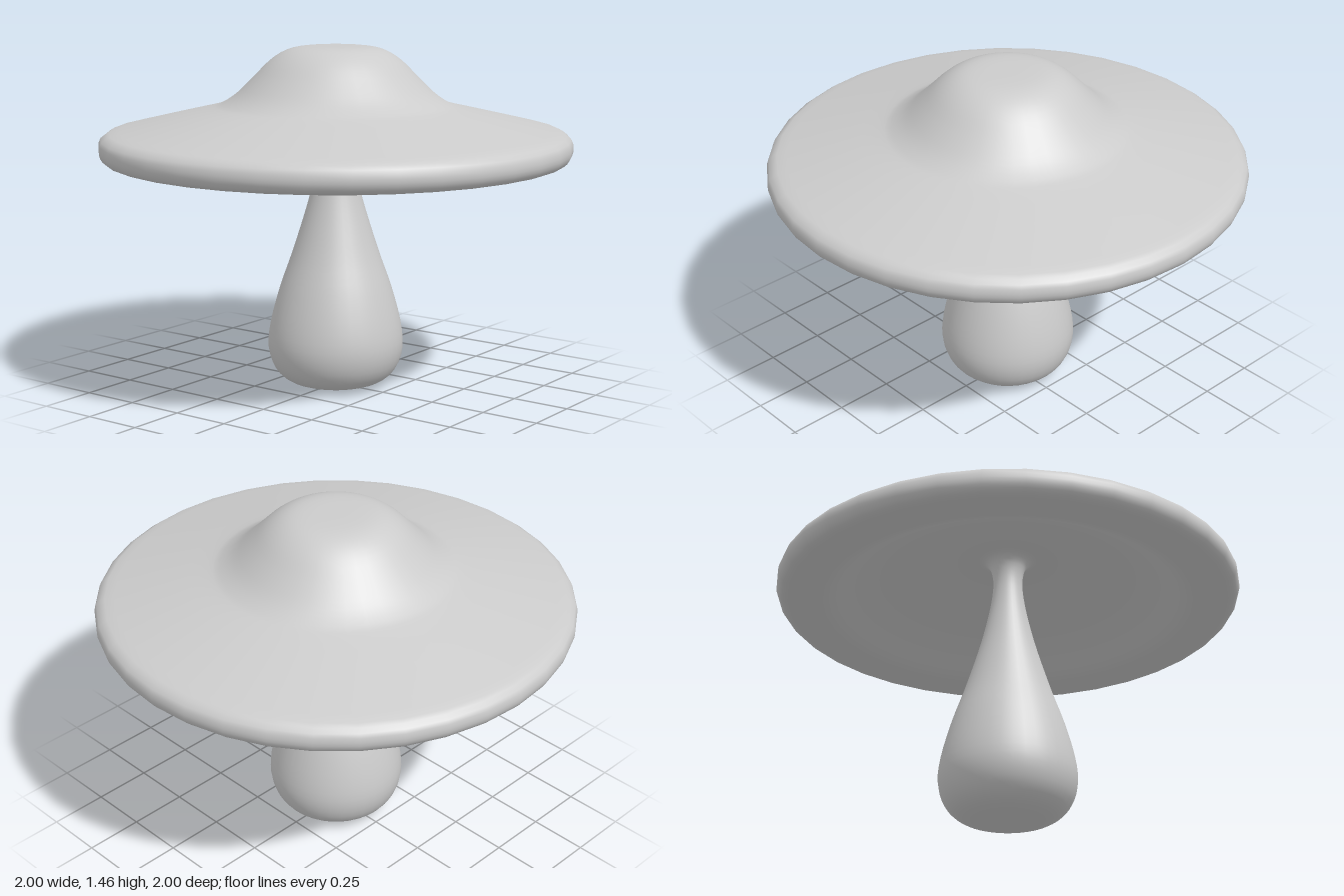
import * as THREE from 'three';

const SIDES = 36;

// Smooth open curve through [radius, height] points
function smooth(pairs, divisions) {
  const curve = new THREE.SplineCurve(pairs.map(([r, y]) => new THREE.Vector2(r, y)));
  return curve.getPoints(divisions).map((p) => new THREE.Vector2(Math.max(p.x, 0), p.y));
}

function turned(name, points, material) {
  const mesh = new THREE.Mesh(new THREE.LatheGeometry(points, SIDES), material);
  mesh.name = name;
  return mesh;
}

export function createModel() {
  const group = new THREE.Group();
  group.name = 'mushroom';
  const material = new THREE.MeshStandardMaterial({ color: 0xcccccc, side: THREE.DoubleSide });

  // Pear-shaped stem, flaring where it meets the hollow underside
  const stem = smooth([
    [0, 0], [0.1, 0.003], [0.2, 0.025], [0.262, 0.08], [0.29, 0.17], [0.28, 0.28],
    [0.24, 0.43], [0.187, 0.58], [0.13, 0.76], [0.098, 0.88], [0.073, 1.0],
    [0.063, 1.1], [0.075, 1.17], [0.105, 1.205], [0.15, 1.215],
  ], 42);

  // Hollow underside, from the stem out to the lip
  const underside = smooth([
    [0.15, 1.215], [0.3, 1.18], [0.5, 1.12], [0.65, 1.06], [0.76, 1.0], [0.83, 0.982], [0.94, 0.98],
  ], 18);

  // Rounded rim
  const rim = smooth([
    [0.94, 0.98], [0.975, 0.99], [0.995, 1.015], [1, 1.045], [0.99, 1.08], [0.955, 1.104],
  ], 10);

  // Sloping brim and central dome
  const top = smooth([
    [0.955, 1.104], [0.8, 1.141], [0.65, 1.176], [0.53, 1.204], [0.48, 1.222], [0.42, 1.262],
    [0.35, 1.33], [0.28, 1.4], [0.21, 1.444], [0.13, 1.461], [0, 1.463],
  ], 30);

  const cap = [...underside, ...rim.slice(1), ...top.slice(1)];
  group.add(turned('stem', stem, material), turned('cap', cap, material));
  return group;
}
